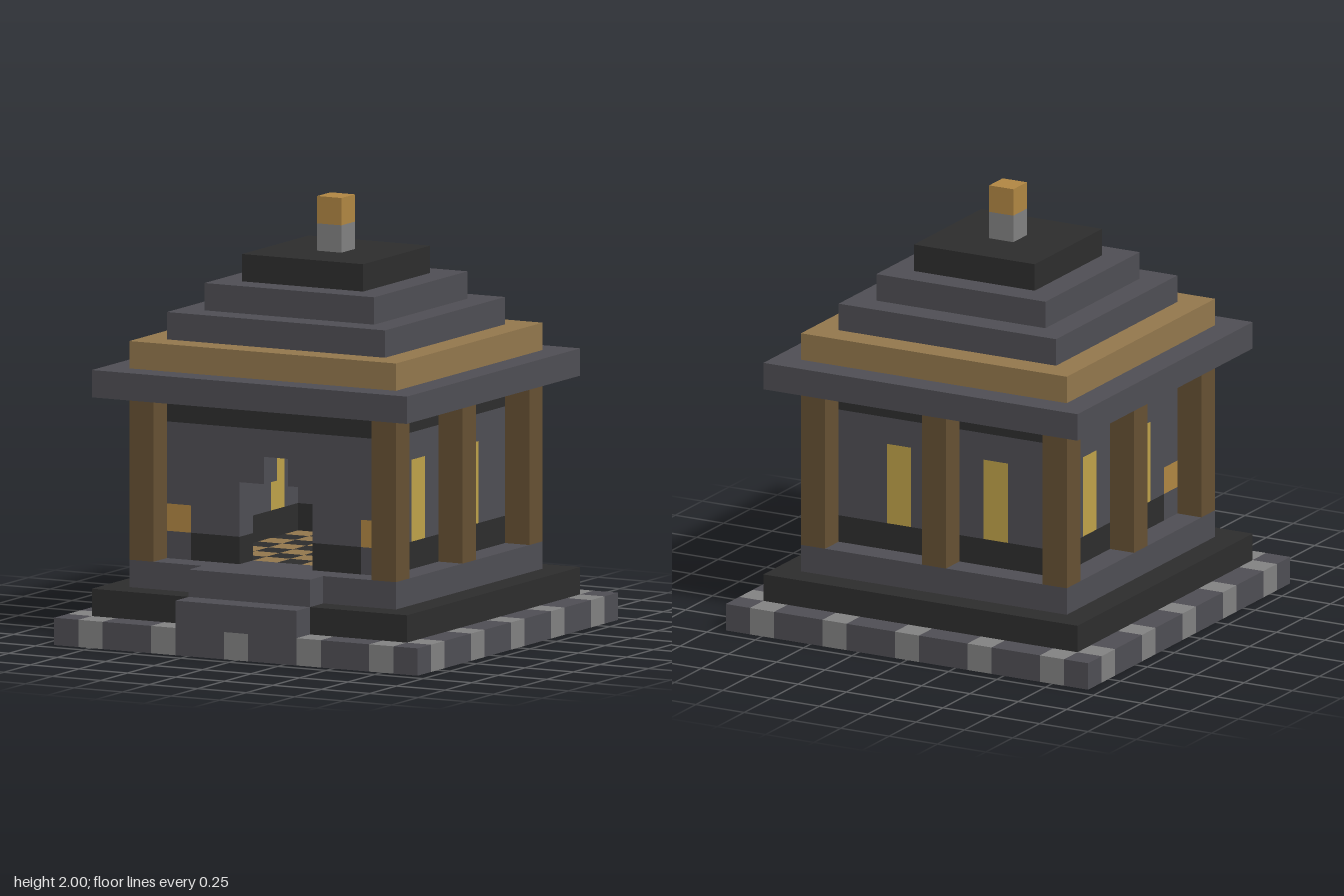
import * as THREE from 'three';

const U = 0.125; // one block
const mat = (name, color) => new THREE.MeshStandardMaterial({ name, color });

export function createModel() {
  const stone = mat('stone', 0x4f4e54);
  const dark = mat('darkStone', 0x2d2d2d);
  const pale = mat('paleStone', 0x828282);
  const trim = mat('bronzeTrim', 0x94784d);
  const wood = mat('wood', 0x665133);
  const lamp = mat('lampOrange', 0xb18743);
  const glow = mat('glowYellow', 0xc0a34a);

  const root = new THREE.Group();
  root.name = 'shrine';
  const group = (name, parent = root) => {
    const g = new THREE.Group();
    g.name = name;
    parent.add(g);
    return g;
  };
  // Box given by its limits in blocks
  const box = (parent, name, m, x0, x1, y0, y1, z0, z1) => {
    const mesh = new THREE.Mesh(new THREE.BoxGeometry((x1 - x0) * U, (y1 - y0) * U, (z1 - z0) * U), m);
    mesh.position.set((x0 + x1) / 2 * U, (y0 + y1) / 2 * U, (z0 + z1) / 2 * U);
    mesh.name = name;
    parent.add(mesh);
  };
  const slab = (parent, name, m, r, y0, y1) => box(parent, name, m, -r, r, y0, y1, -r, r);
  // Square frame, open in the middle
  const ring = (parent, name, m, r, t, y0, y1) => {
    const g = group(name, parent), i = r - t;
    for (const [a, b] of [[-r, -i], [i, r]]) {
      box(g, name + 'Long', m, -r, r, y0, y1, a, b);
      box(g, name + 'Short', m, a, b, y0, y1, -i, i);
    }
  };
  // Four sides: front, right, back, left
  const side = (name, parent, k) => {
    const g = group(name, parent);
    g.rotation.y = k * Math.PI / 2;
    return g;
  };

  // Base with pale blocks along the rim
  const base = group('base');
  slab(base, 'baseCore', stone, 6.5, 0, 1);
  for (let k = 0; k < 4; k++) {
    const g = side('baseRim', base, k);
    let x = -7.5;
    for (const c of [-6, -3, 0, 3, 6]) {
      box(g, 'rimStone', stone, x, c - 0.5, 0, 1, 6.5, 7.5);
      box(g, 'rimPaleStone', pale, c - 0.5, c + 0.5, 0, 1, 6.5, 7.5);
      x = c + 0.5;
    }
  }
  slab(base, 'plinth', dark, 6.5, 1, 2);
  ring(base, 'terrace', stone, 5.5, 2, 2, 3);
  box(base, 'lowerStep', stone, -2.5, 2.5, 1, 2, 6.5, 7.5);
  box(base, 'upperStep', stone, -2.5, 2.5, 2, 3, 5.5, 6.5);

  // Checkered floor inside
  const floor = group('floor');
  for (let x = -3; x <= 3; x++) for (let z = -3; z <= 3; z++) {
    box(floor, 'floorTile', (x + z) % 2 ? dark : trim, x - 0.5, x + 0.5, 2, 3, z - 0.5, z + 0.5);
  }

  // Walls with windows; the front has a stepped doorway
  const walls = group('walls');
  for (let k = 0; k < 4; k++) {
    const g = side(k ? 'windowWall' : 'doorWall', walls, k);
    box(g, 'wallTopBand', dark, -3.5, 3.5, 8, 9, 3.5, 4.5);
    if (k === 0) {
      for (const s of [-1, 1]) {
        const part = (name, m, a, b, y0, y1) =>
          box(g, name, m, Math.min(s * a, s * b), Math.max(s * a, s * b), y0, y1, 3.5, 4.5);
        part('wallFoot', dark, 1.5, 3.5, 3, 4);
        part('doorSide', stone, 1.5, 3.5, 4, 8);
        part('doorShoulder', stone, 0.5, 1.5, 6, 8);
      }
      box(g, 'doorLintel', stone, -0.5, 0.5, 7, 8, 3.5, 4.5);
    } else {
      box(g, 'wallFoot', dark, -3.5, 3.5, 3, 4, 3.5, 4.5);
      box(g, 'wallUpper', stone, -3.5, 3.5, 7, 8, 3.5, 4.5);
      for (const [a, b] of [[-3.5, -2.5], [-1.5, 1.5], [2.5, 3.5]]) {
        box(g, 'wallPanel', stone, a, b, 4, 7, 3.5, 4.5);
      }
      for (const c of [-2, 2]) box(g, 'window', glow, c - 0.5, c + 0.5, 4, 7, 3.5, 4.5);
    }
  }

  // Wall corners, with lamps at the front
  for (const x of [-4, 4]) for (const z of [-4, 4]) {
    const g = group('wallCorner', walls);
    const part = (name, m, y0, y1) => box(g, name, m, x - 0.5, x + 0.5, y0, y1, z - 0.5, z + 0.5);
    part('cornerFoot', z > 0 ? stone : dark, 3, 4);
    part(z > 0 ? 'cornerLamp' : 'cornerLower', z > 0 ? lamp : stone, 4, 5);
    part('cornerUpper', stone, 5, 8);
    part('cornerTop', dark, 8, 9);
  }

  // Pillars at the corners and mid-sides, leaving the entrance free
  const pillars = group('pillars');
  for (const [x, z] of [[-5, -5], [5, -5], [-5, 5], [5, 5], [-5, 0], [5, 0], [0, -5]]) {
    box(pillars, 'pillar', wood, x - 0.5, x + 0.5, 3, 9, z - 0.5, z + 0.5);
  }

  // Altar inside
  const altar = group('altar');
  [['altarFoot', dark], ['altarGlow', glow], ['altarStone', pale], ['altarFlame', lamp]].forEach(([n, m], i) =>
    box(altar, n, m, -0.5, 0.5, 3 + i, 4 + i, -0.5, 0.5));

  // Hollow stepped roof and finial
  const roof = group('roof');
  ring(roof, 'eaves', stone, 6.5, 1, 9, 10);
  ring(roof, 'roofTrim', trim, 5.5, 1, 10, 11);
  ring(roof, 'roofLowerTier', stone, 4.5, 1, 11, 12);
  ring(roof, 'roofUpperTier', stone, 3.5, 1, 12, 13);
  slab(roof, 'roofCap', dark, 2.5, 13, 14);
  slab(roof, 'finialBase', pale, 0.5, 14, 15);
  slab(roof, 'finialTip', lamp, 0.5, 15, 16);

  return root;
}
